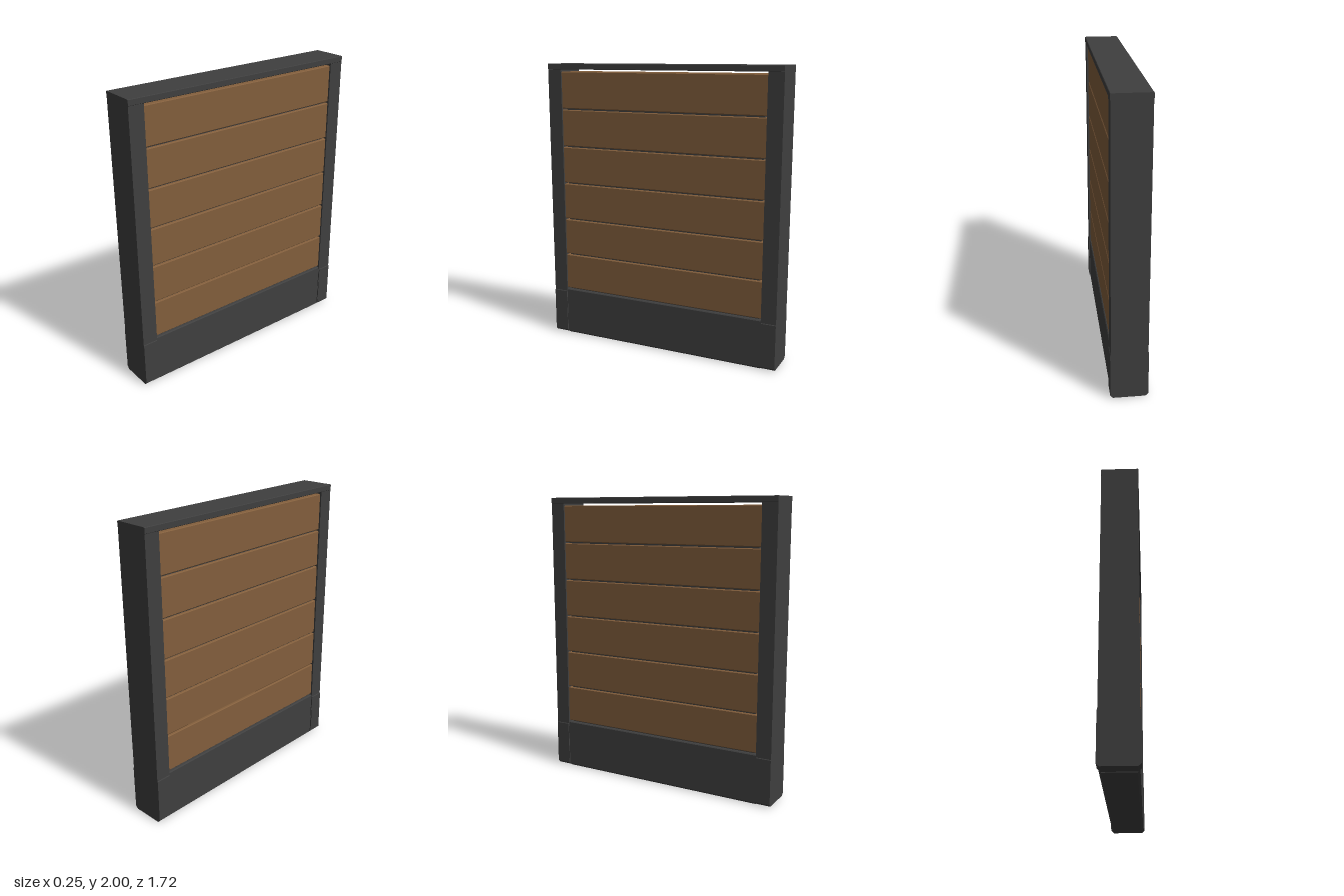
import * as THREE from 'three';

const charcoal = new THREE.MeshStandardMaterial({ color: 0x3f3f3f });
charcoal.name = 'charcoal metal';
const wood = new THREE.MeshStandardMaterial({ color: 0x825e3c });
wood.name = 'brown wood';

// Bar running along z from a chamfered x-y section; top and bottom corners cut separately
function bar(name, material, halfWidth, y0, y1, z0, z1, cutBottom, cutTop) {
  const w = halfWidth, b = cutBottom, t = cutTop;
  const section = new THREE.Shape([
    [-w + b, y0], [w - b, y0], [w, y0 + b], [w, y1 - t],
    [w - t, y1], [-w + t, y1], [-w, y1 - t], [-w, y0 + b],
  ].map(([x, y]) => new THREE.Vector2(x, y)));
  const geometry = new THREE.ExtrudeGeometry(section, { depth: z1 - z0, bevelEnabled: false });
  geometry.translate(0, 0, z0);
  const mesh = new THREE.Mesh(geometry, material);
  mesh.name = name;
  return mesh;
}

export function createModel() {
  const group = new THREE.Group();
  group.name = 'slattedPanel';
  const outer = 0.862, inner = 0.757;

  // Frame: two posts, top cap and deep bottom rail
  group.add(bar('frontPost', charcoal, 0.119, 0.005, 1.962, inner, outer, 0.014, 0.002));
  group.add(bar('backPost', charcoal, 0.119, 0.005, 1.962, -outer, -inner, 0.014, 0.002));
  group.add(bar('topCap', charcoal, 0.121, 1.96, 2, -outer, outer, 0.003, 0.003));
  group.add(bar('bottomRail', charcoal, 0.115, 0, 0.345, -inner, inner, 0.014, 0.006));

  // Low sleeves around the post feet
  for (const side of [-1, 1]) {
    const z0 = side > 0 ? inner + 0.003 : -outer;
    group.add(bar('postFoot', charcoal, 0.123, 0.008, 0.33, z0, z0 + outer - inner - 0.003, 0.014, 0.004));
  }

  // Six planks with a set-back tongue below each one
  const first = 0.354, pitch = 0.2668, gap = 0.01;
  for (let i = 0; i < 6; i++) {
    const y = first + i * pitch;
    group.add(bar('plank', wood, 0.108, y, y + pitch - gap, -inner, inner, 0.005, 0.005));
    group.add(bar('tongue', charcoal, 0.09, y - gap - 0.004, y + 0.004, -0.735, 0.735, 0.002, 0.002));
  }
  return group;
}
